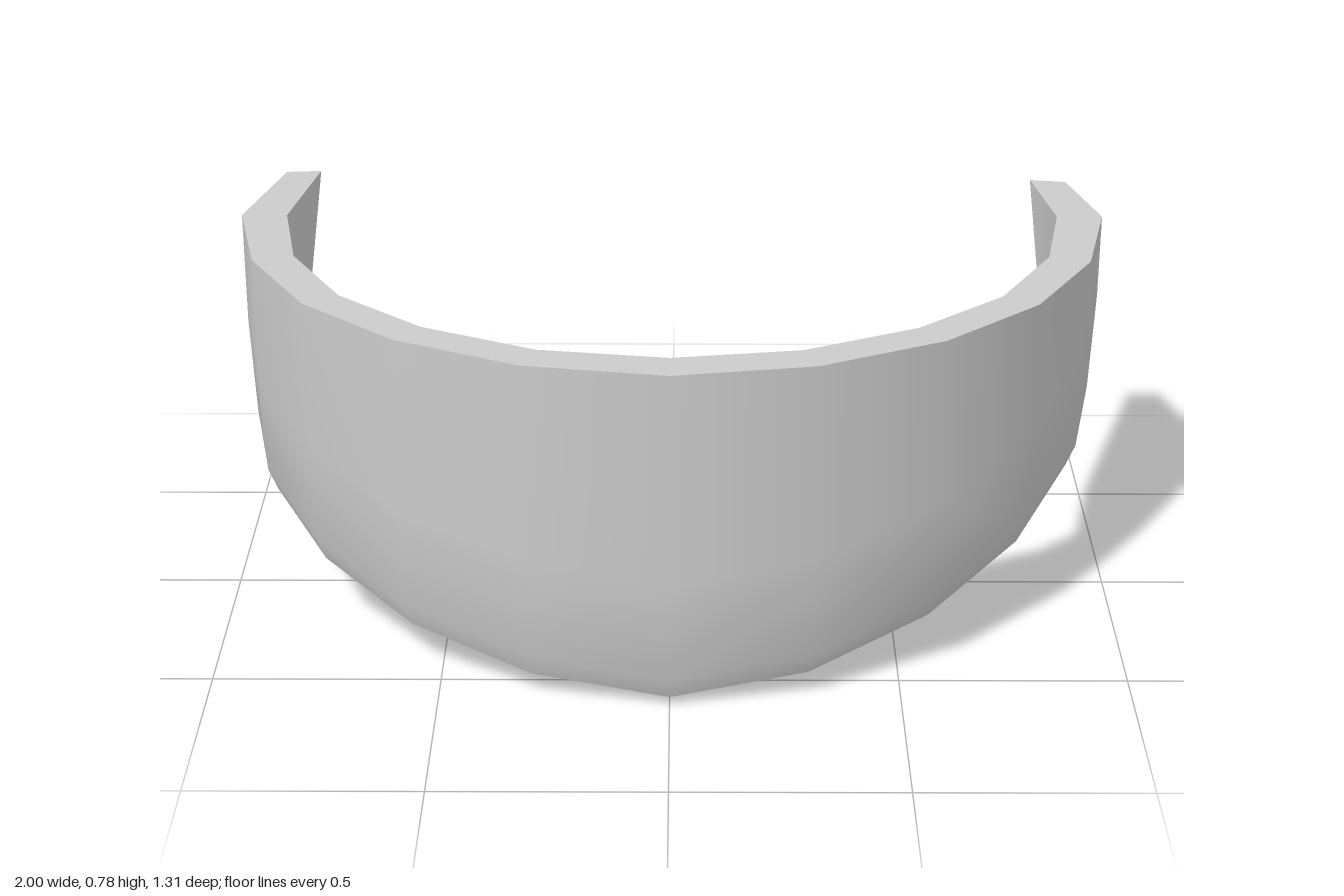
import * as THREE from 'three';
import { toCreasedNormals } from 'three/addons/utils/BufferGeometryUtils.js';

const TOP = 0.78;

// One side of the band from the front centre to the back:
// outer x, outer z, inner x, inner z, underside height on the right (-x), on the left (+x)
const STATIONS = [
  [0, 0.655, 0, 0.555, 0, 0],
  [0.31, 0.6, 0.28, 0.51, 0.03, 0.035],
  [0.585, 0.455, 0.53, 0.38, 0.08, 0.105],
  [0.8, 0.24, 0.725, 0.19, 0.142, 0.187],
  [0.94, -0.03, 0.85, -0.06, 0.195, 0.26],
  [1, -0.335, 0.895, -0.335, 0.215, 0.285],
];

// Cross-section ring: inner top, outer top, then down the softly tucked outside to the underside
function section([ox, oz, ix, iz, rightY, leftY], side) {
  const y = side < 0 ? rightY : leftY;
  const outer = new THREE.Vector3(ox * side, 0, oz);
  const inner = new THREE.Vector3(ix * side, 0, iz);
  const at = (inset, height) => outer.clone().lerp(inner, inset).setY(height);
  return [at(1, TOP), at(0, TOP), at(0.02, y + 0.3), at(0.14, y + 0.07), at(0.36, y + 0.02), at(1, y)];
}

// Slanted tip: the top corners reach back, the lower corners stay at the last section
function tip(last, outer, inner) {
  return last.map((p, j) => {
    const isInner = j === 0 || j === 5;
    const low = isInner ? last[5].y : last[4].y;
    const t = (p.y - low) / (TOP - low);
    const base = last[isInner ? 0 : 1];
    const target = isInner ? inner : outer;
    return new THREE.Vector3(p.x + (target[0] - base.x) * t, p.y, p.z + (target[1] - base.z) * t);
  });
}

function bandGeometry() {
  const right = STATIONS.slice(1).reverse().map((s) => section(s, -1));
  const left = STATIONS.map((s) => section(s, 1));
  const rings = [
    tip(right[0], [-0.93, -0.65], [-0.848, -0.658]),
    ...right,
    ...left,
    tip(left[left.length - 1], [0.94, -0.585], [0.857, -0.598]),
  ];
  const n = rings[0].length;
  const positions = [];
  const triangle = (a, b, c) => {
    const area = b.clone().sub(a).cross(c.clone().sub(a)).length();
    if (area > 1e-7) for (const p of [a, b, c]) positions.push(p.x, p.y, p.z);
  };
  // Walls between neighbouring rings
  for (let i = 0; i < rings.length - 1; i++) {
    for (let j = 0; j < n; j++) {
      const k = (j + 1) % n;
      triangle(rings[i][j], rings[i][k], rings[i + 1][k]);
      triangle(rings[i][j], rings[i + 1][k], rings[i + 1][j]);
    }
  }
  // End faces
  const first = rings[0], last = rings[rings.length - 1];
  for (let j = 0; j < n - 2; j++) {
    triangle(first[n - 1], first[j + 1], first[j]);
    triangle(last[n - 1], last[j], last[j + 1]);
  }
  const geometry = new THREE.BufferGeometry();
  geometry.setAttribute('position', new THREE.Float32BufferAttribute(positions, 3));
  return toCreasedNormals(geometry, THREE.MathUtils.degToRad(38));
}

export function createModel() {
  const model = new THREE.Group();
  model.name = 'curvedBand';
  const band = new THREE.Mesh(bandGeometry(), new THREE.MeshStandardMaterial({ color: 0xcccccc }));
  band.name = 'band';
  model.add(band);
  return model;
}
